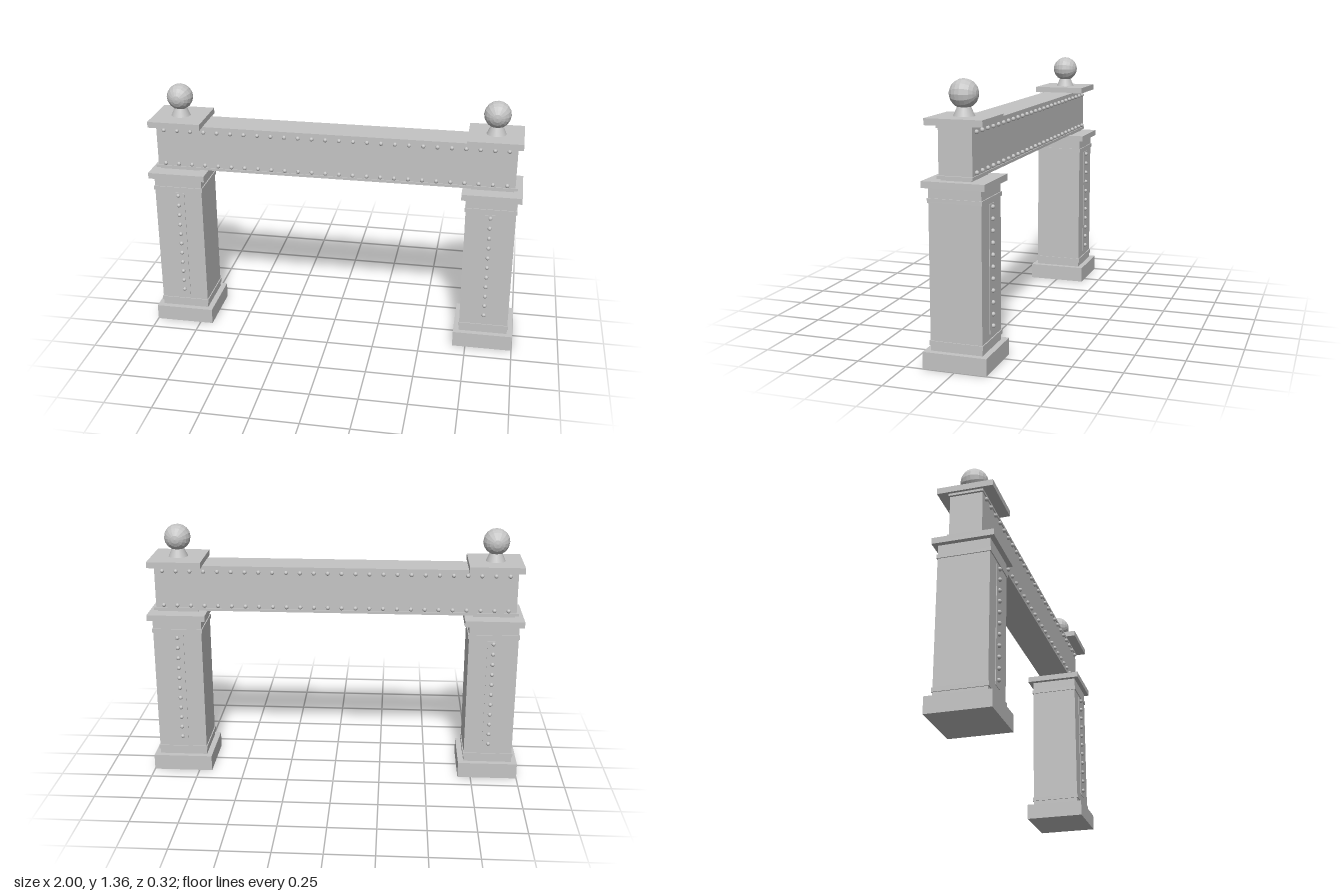
import * as THREE from 'three';

export function createModel() {
  const model = new THREE.Group();
  model.name = 'gateway';
  const metal = new THREE.MeshStandardMaterial({ color: 0xc4c4c4 });
  metal.name = 'grey metal';

  const add = (parent, name, geometry, x, y, z) => {
    const mesh = new THREE.Mesh(geometry, metal);
    mesh.name = name;
    mesh.position.set(x, y, z);
    parent.add(mesh);
    return mesh;
  };
  // Box given by its width, depth and the heights of its bottom and top
  const block = (parent, name, w, d, y0, y1, x = 0, z = 0) =>
    add(parent, name, new THREE.BoxGeometry(w, y1 - y0, d), x, (y0 + y1) / 2, z);

  const rivetGeometry = new THREE.SphereGeometry(0.011, 10, 8);
  const ballGeometry = new THREE.SphereGeometry(0.07, 16, 10).rotateX(Math.PI / 2).toNonIndexed();
  ballGeometry.computeVertexNormals();
  const neckGeometry = new THREE.CylinderGeometry(0.03, 0.052, 0.05, 20);

  // Posts, each with the slab and ball finial above it
  for (const side of [-1, 1]) {
    const post = new THREE.Group();
    post.name = side < 0 ? 'rightPost' : 'leftPost';
    post.position.x = side * 0.84;
    model.add(post);

    block(post, 'base', 0.32, 0.32, 0, 0.085);
    block(post, 'shaft', 0.26, 0.26, 0.085, 0.868);
    block(post, 'lowerBand', 0.27, 0.27, 0.113, 0.135);
    block(post, 'upperBand', 0.27, 0.27, 0.797, 0.818);
    block(post, 'capital', 0.31, 0.31, 0.868, 0.9);
    block(post, 'bearingPad', 0.22, 0.15, 0.9, 0.91);

    // Riveted strips on the front and back
    for (const face of [-1, 1]) {
      block(post, 'strip', 0.064, 0.004, 0.16, 0.785, 0, face * 0.131);
      for (let i = 0; i < 11; i++) {
        add(post, 'postRivet', rivetGeometry, 0, 0.194 + i * 0.0576, face * 0.137);
      }
    }

    block(post, 'topSlab', 0.284, 0.284, 1.155, 1.187);
    add(post, 'finialNeck', neckGeometry, 0, 1.21, 0);
    add(post, 'finialBall', ballGeometry, 0, 1.29, 0);
  }

  // Crossbeam with flanges
  const beam = new THREE.Group();
  beam.name = 'crossbeam';
  model.add(beam);
  block(beam, 'web', 1.912, 0.166, 0.92, 1.146);
  block(beam, 'bottomFlange', 1.936, 0.176, 0.91, 0.924);
  block(beam, 'topFlange', 1.936, 0.176, 1.143, 1.157);

  // Two rows of rivets along each side of the beam
  for (const face of [-1, 1]) {
    for (const y of [0.938, 1.126]) {
      for (let i = 0; i < 26; i++) {
        add(beam, 'beamRivet', rivetGeometry, -0.913 + i * 0.07304, y, face * 0.088);
      }
    }
  }
  return model;
}
